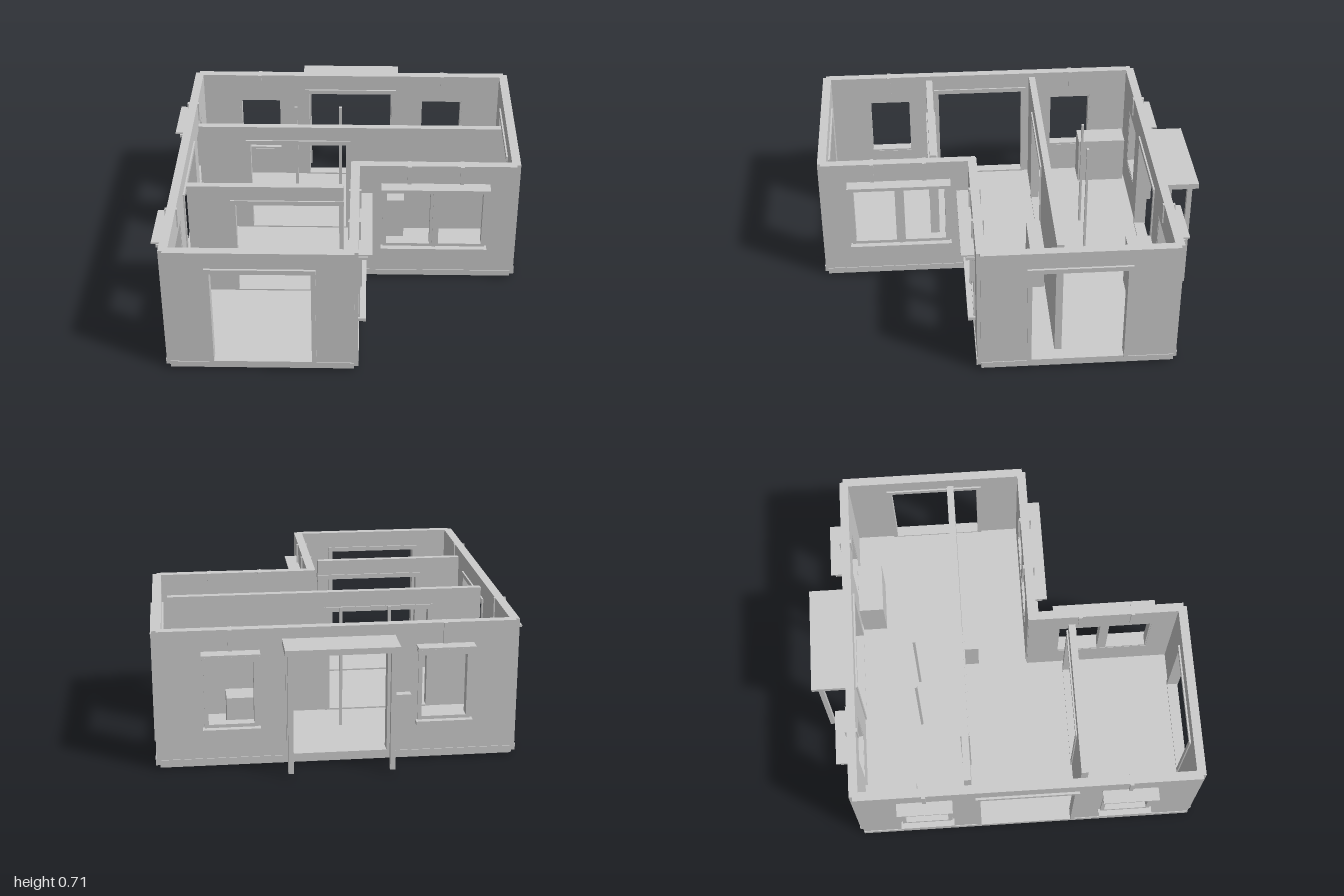
import * as THREE from 'three';

const H = 0.715, FLOOR = 0.05;

export function createModel() {
  const model = new THREE.Group();
  model.name = 'house';
  const grey = new THREE.MeshStandardMaterial({ color: 0xcccccc });
  grey.name = 'plaster light grey';

  // box from its min and max corners
  function box(parent, name, x0, x1, y0, y1, z0, z1) {
    const m = new THREE.Mesh(new THREE.BoxGeometry(x1 - x0, y1 - y0, z1 - z0), grey);
    m.position.set((x0 + x1) / 2, (y0 + y1) / 2, (z0 + z1) / 2);
    m.name = name;
    parent.add(m);
  }

  // upright panel with rectangular holes [u0, u1, y0, y1], from z0 to z1
  function panel(parent, name, u0, u1, y0, y1, z0, z1, holes) {
    const rect = (P, a, b, c, d) => new P([[a, c], [b, c], [b, d], [a, d]].map(p => new THREE.Vector2(...p)));
    const shape = rect(THREE.Shape, u0, u1, y0, y1);
    for (const h of holes) shape.holes.push(rect(THREE.Path, ...h));
    const m = new THREE.Mesh(new THREE.ExtrudeGeometry(shape, { depth: z1 - z0, bevelEnabled: false }), grey);
    m.position.z = z0;
    m.name = name;
    parent.add(m);
  }

  // door lining around a clear opening of half width w
  function doorFrame(parent, u, w, z0, z1) {
    const o = w + 0.022;
    for (const s of [-1, 1]) {
      const c = u + s * (w + 0.011);
      box(parent, 'doorJamb', c - 0.011, c + 0.011, FLOOR, 0.6, z0, z1);
    }
    box(parent, 'doorHeader', u - o - 0.003, u + o + 0.003, 0.6, 0.625, z0 - 0.002, z1 + 0.002);
    box(parent, 'threshold', u - o, u + o, FLOOR - 0.01, 0.056, z0, z1 - 0.004);
  }

  // window lining, sill, cornice and hood; doubles get a central mullion
  function windowFrame(parent, u, w, double) {
    const o = w + 0.02;
    const holes = double
      ? [[u - w, u - 0.024, 0.23, 0.55], [u + 0.024, u + w, 0.23, 0.55]]
      : [[u - w, u + w, 0.23, 0.55]];
    panel(parent, 'windowFrame', u - o, u + o, 0.213, 0.575, -0.048, 0.005, holes);
    if (double) box(parent, 'mullionCap', u - 0.009, u + 0.009, 0.213, 0.575, -0.04, 0.012);
    box(parent, 'windowSill', u - o - 0.01, u + o + 0.01, 0.195, 0.213, -0.047, 0.035);
    box(parent, 'windowCornice', u - o - 0.008, u + o + 0.008, 0.575, 0.591, -0.03, 0.042);
    box(parent, 'windowFrieze', u - o, u + o, 0.591, 0.6, -0.02, 0.012);
    box(parent, 'windowHood', u - o - 0.011, u + o + 0.011, 0.599, 0.608, -0.02, 0.064);
    for (const c of double ? [-0.138, 0.138] : [0]) {
      box(parent, 'overWindowStrip', u + c - 0.01, u + c + 0.01, 0.608, H, -0.057, 0.006);
    }
  }

  // outer wall; local z points outward, a and b are its ends in world coordinates
  function outerWall(name, turn, plane, a, b, openings) {
    const g = new THREE.Group();
    g.name = name;
    g.rotation.y = turn * Math.PI / 2;
    if (turn % 2) g.position.x = plane; else g.position.z = plane;
    const flip = turn === 1 || turn === 2 ? -1 : 1;
    const u0 = Math.min(a * flip, b * flip), u1 = Math.max(a * flip, b * flip);
    const holes = [];
    for (const [kind, at, w] of openings) {
      const u = at * flip;
      if (kind === 'door') {
        holes.push([u - w - 0.015, u + w + 0.015, FLOOR, 0.61]);
        doorFrame(g, u, w, -0.057, 0.006);
      } else {
        holes.push([u - w - 0.008, u + w + 0.008, 0.22, 0.56]);
        windowFrame(g, u, w, kind === 'double');
      }
    }
    panel(g, 'wallPanel', u0, u1, 0.015, H, -0.05, -0.004, holes);
    box(g, 'skirting', u0, u1, 0.015, FLOOR - 0.001, -0.04, 0);
    model.add(g);
  }

  outerWall('frontWall', 0, 0.992, -0.855, 0.065, [['door', -0.39, 0.245]]);
  outerWall('innerFrontWall', 0, 0.2, 0.045, 0.905, [['double', 0.483, 0.255]]);
  outerWall('innerSideWall', 1, 0.088, 0.155, 0.972, [['double', 0.565, 0.243]]);
  outerWall('leftWall', 1, 0.93, -0.8, 0.178, [['door', -0.31, 0.235]]);
  outerWall('backWall', 2, -0.822, -0.855, 0.905,
    [['single', -0.503, 0.112], ['door', 0.022, 0.24], ['single', 0.552, 0.112]]);
  outerWall('rightWall', -1, -0.88, -0.8, 0.972,
    [['single', -0.445, 0.112], ['door', 0.083, 0.242], ['single', 0.61, 0.112]]);

  // L-shaped base and floor
  function slab(name, i, y0, y1) {
    const pts = [[-0.88 + i, -0.82 + i], [0.93 - i, -0.82 + i], [0.93 - i, 0.2 - i],
      [0.088 - i, 0.2 - i], [0.088 - i, 0.992 - i], [-0.88 + i, 0.992 - i]];
    const shape = new THREE.Shape(pts.map(([x, z]) => new THREE.Vector2(x, -z)));
    const m = new THREE.Mesh(new THREE.ExtrudeGeometry(shape, { depth: y1 - y0, bevelEnabled: false }), grey);
    m.rotation.x = -Math.PI / 2;
    m.position.y = y0;
    m.name = name;
    model.add(m);
  }
  slab('base', 0.022, 0, 0.016);
  slab('floor', 0.03, 0.016, FLOOR - 0.002);

  // interior partitions with wide doorways, standing clear of the side walls
  function partition(name, z, x0, x1, d0, d1) {
    const g = new THREE.Group();
    g.name = name;
    g.position.z = z;
    const c = (d0 + d1) / 2, w = (d1 - d0) / 2 - 0.025;
    panel(g, 'partitionPanel', x0, x1, 0.03, H - 0.008, -0.018, 0.018,
      [[c - w - 0.012, c + w + 0.012, FLOOR, 0.61]]);
    doorFrame(g, c, w, -0.024, 0.024);
    model.add(g);
  }
  partition('middlePartition', -0.218, -0.802, 0.85, -0.545, 0.03);
  partition('frontPartition', 0.378, -0.802, 0.003, -0.58, 0.005);

  // furniture blocks
  box(model, 'cornerCabinet', -0.822, -0.69, 0.04, 0.32, -0.762, -0.492);
  box(model, 'backCabinet', 0.3, 0.572, 0.04, 0.34, -0.762, -0.63);
  box(model, 'middleCabinet', 0.052, 0.33, 0.04, 0.29, -0.195, -0.118);

  // slim interior poles
  for (const x of [-0.28, -0.03]) box(model, 'pole', x - 0.008, x + 0.008, 0.04, 0.69, -0.462, -0.449);

  // back porch
  box(model, 'porchRoof', -0.255, 0.3, 0.63, 0.66, -1, -0.815);
  for (const x of [-0.228, 0.273]) box(model, 'porchPost', x - 0.013, x + 0.013, 0.012, 0.63, -0.97, -0.944);
  box(model, 'wallBox', -0.333, -0.257, 0.19, 0.36, -0.857, -0.815);

  return model;
}
